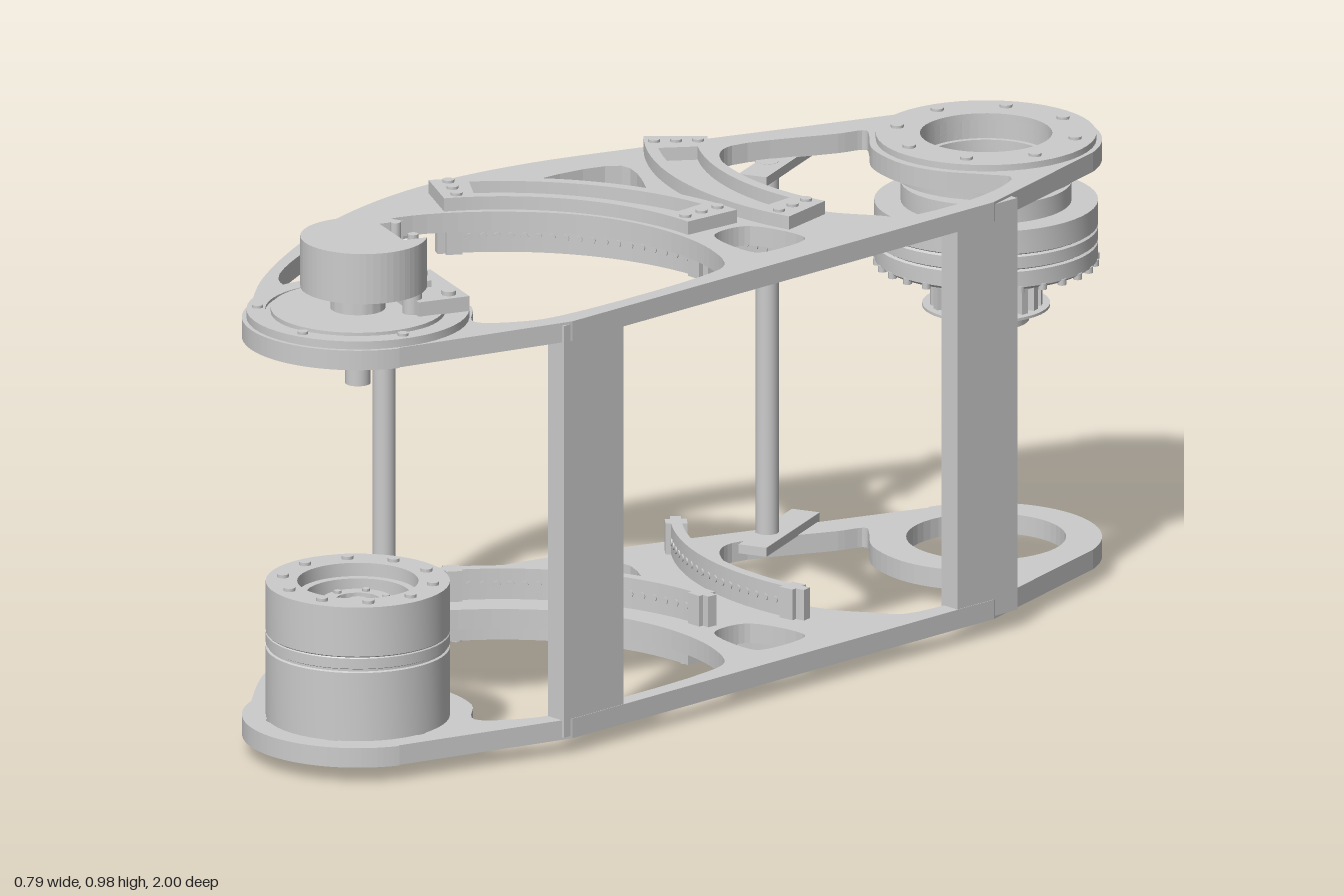
import * as THREE from 'three';
import { toCreasedNormals } from 'three/addons/utils/BufferGeometryUtils.js';

const MID = 0.425; // the two plates mirror about this height
const FRONT = [0.1, 0.79], BACK = [0.1, -0.79]; // joint axes (x, z)
const mat = new THREE.MeshStandardMaterial({ color: 0xcccccc });
const matDouble = new THREE.MeshStandardMaterial({ color: 0xcccccc, side: THREE.DoubleSide });

function add(parent, name, geo, x = 0, y = 0, z = 0, m = mat) {
  const mesh = new THREE.Mesh(geo, m);
  mesh.name = name;
  mesh.position.set(x, y, z);
  parent.add(mesh);
  return mesh;
}

// Extrude an (x, z) shape between two heights
function slab(parent, name, shape, y0, y1) {
  const g = new THREE.ExtrudeGeometry(shape, { depth: y1 - y0, bevelEnabled: false, curveSegments: 24 });
  return add(parent, name, g.rotateX(Math.PI / 2), 0, y1, 0);
}

// Turned part from [radius, y] pairs
function turned(parent, name, profile, [x, z]) {
  const g = new THREE.LatheGeometry(profile.map(p => new THREE.Vector2(...p)), 48);
  return add(parent, name, toCreasedNormals(g, 0.6), x, 0, z, matDouble);
}

const cyl = (r, h, n = 24) => new THREE.CylinderGeometry(r, r, h, n);
const circle = (x, z, r) => new THREE.Path().absarc(x, z, r, 0, Math.PI * 2, false);

function ringOf(n, r, [x, z], fn, phase = 0) {
  for (let i = 0; i < n; i++) {
    const a = phase + i / n * Math.PI * 2;
    fn(x + r * Math.cos(a), z + r * Math.sin(a), a);
  }
}

// Rounded cut-out through control points
function softHole(points) {
  const c = new THREE.CatmullRomCurve3(points.map(p => new THREE.Vector3(p[0], p[1], 0)), true, 'centripetal');
  return new THREE.Path(c.getPoints(points.length * 5).slice(0, -1).map(p => new THREE.Vector2(p.x, p.y)));
}

// Curved band between two radii
function band(Type, a, r0, r1, a0, a1) {
  const s = new Type();
  s.absarc(a.x, a.z, r1, a0, a1, false);
  s.absarc(a.x, a.z, r0, a1, a0, true);
  s.closePath();
  return s;
}

function plateShape() {
  const s = new THREE.Shape();
  s.moveTo(0.39, 0.53);
  s.lineTo(0.29, 0.87);
  s.absarc(...FRONT, 0.21, 0.4, Math.PI - 0.4, false);
  s.splineThru([[-0.19, 0.75], [-0.29, 0.57], [-0.37, 0.37], [-0.4, 0.15], [-0.37, -0.08],
    [-0.28, -0.35], [-0.18, -0.62], [-0.1, -0.84]].map(p => new THREE.Vector2(...p)));
  s.absarc(...BACK, 0.21, Math.PI + 0.25, Math.PI * 2 - 0.4, false);
  s.lineTo(0.39, -0.53);
  s.closePath();
  s.holes.push(
    softHole([[0.35, 0.15], [0.33, 0.09], [0.24, 0.04], [0.12, 0.02], [0, 0.035], [-0.1, 0.08], [-0.22, 0.19],
      [-0.29, 0.31], [-0.3, 0.42], [-0.26, 0.57], [-0.17, 0.73], [-0.12, 0.75], [-0.09, 0.69], [-0.04, 0.63],
      [0.02, 0.59], [0.1, 0.575], [0.2, 0.6], [0.27, 0.66], [0.33, 0.59], [0.35, 0.52]]),
    softHole([[0.3, -0.32], [0.34, -0.35], [0.345, -0.55], [0.3, -0.66], [0.26, -0.64], [0.18, -0.59], [0.1, -0.575],
      [0, -0.6], [-0.06, -0.65], [-0.09, -0.67], [-0.11, -0.62], [-0.19, -0.43], [-0.17, -0.38], [-0.08, -0.32],
      [0.02, -0.275], [0.13, -0.255], [0.22, -0.27]]),
    softHole([[-0.24, -0.2], [-0.28, -0.01], [-0.25, 0.01], [-0.14, -0.06], [-0.07, -0.1], [-0.1, -0.13]]),
    softHole([[0.19, -0.11], [0.3, -0.135], [0.32, -0.12], [0.32, -0.01], [0.3, 0], [0.19, -0.02], [0.175, -0.06]]));
  return s;
}

// Two curved clamps with their perforated racks, for one plate
const ARCS = [
  { x: 0.12, z: 0.445, r: 0.495, a0: -2.62, a1: -1.5 },
  { x: 0.13, z: -0.73, r: 0.54, a0: 1.36, a1: 2.34 },
];
function clamps(parent, flip) {
  const span = (lo, hi) => flip ? [2 * MID - hi, 2 * MID - lo] : [lo, hi];
  for (const a of ARCS) {
    const frame = band(THREE.Shape, a, a.r - 0.058, a.r + 0.058, a.a0, a.a1);
    frame.holes.push(band(THREE.Path, a, a.r - 0.036, a.r + 0.036, a.a0 + 0.13, a.a1 - 0.13));
    slab(parent, 'clampFrame', frame, ...span(0.82, 0.845));
    slab(parent, 'curvedRack', band(THREE.Shape, a, a.r - 0.01, a.r + 0.01, a.a0, a.a1), ...span(0.725, 0.785));
    const [e0, e1] = span(0.845, 0.849), [r0, r1] = span(0.725, 0.785);
    for (const t of [a.a0 + 0.06, a.a1 - 0.06]) {
      for (const d of [-0.04, 0, 0.04]) // clamp bolts
        add(parent, 'clampBolt', cyl(0.011, 0.006, 10), a.x + (a.r + d) * Math.cos(t), (e0 + e1) / 2, a.z + (a.r + d) * Math.sin(t));
      add(parent, 'rackEndBlock', new THREE.BoxGeometry(0.04, r1 - r0, 0.03),
        a.x + a.r * Math.cos(t), (r0 + r1) / 2, a.z + a.r * Math.sin(t)).rotation.y = -t;
    }
    for (let i = 0; i < 18; i++) { // rack pins
      const t = a.a0 + 0.12 + (a.a1 - a.a0 - 0.24) * i / 17;
      const pin = add(parent, 'rackPin', cyl(0.007, 0.025, 8), a.x + a.r * Math.cos(t), (r0 + r1) / 2, a.z + a.r * Math.sin(t));
      pin.rotation.set(0, -t, Math.PI / 2);
    }
  }
}

export function createModel() {
  const model = new THREE.Group();

  // Plates
  const top = plateShape(), bottom = plateShape();
  top.holes.push(circle(...BACK, 0.12), circle(...FRONT, 0.14));
  bottom.holes.push(circle(...BACK, 0.145), circle(...FRONT, 0.085));
  ringOf(6, 0.145, FRONT, (x, z) => bottom.holes.push(circle(x, z, 0.025)));
  slab(model, 'topPlate', top, 0.783, 0.82);
  slab(model, 'bottomPlate', bottom, 0.03, 0.067);
  clamps(model, false);
  clamps(model, true);

  // Side posts, round rods and their foot pads
  for (const z of [0.475, -0.515])
    add(model, 'sidePost', new THREE.BoxGeometry(0.042, 0.78, 0.15), 0.368, MID, z);
  for (const [x, z, w, l, turn] of [[-0.34, 0.3, 0.06, 0.08, 0], [-0.16, -0.52, 0.055, 0.24, 0.39]]) {
    add(model, 'rod', cyl(0.021, 0.72), x, MID, z - (turn ? -0.03 : 0));
    for (const y of [0.074, 2 * MID - 0.074])
      add(model, 'rodPad', new THREE.BoxGeometry(w, 0.017, l), x, y, z).rotation.y = -Math.PI + turn;
  }

  // Lower front motor: drum with open top and inner hub
  turned(model, 'motorDrum', [[0.085, 0.06], [0.167, 0.06], [0.167, 0.196], [0.163, 0.198], [0.163, 0.202], [0.167, 0.204],
    [0.167, 0.223], [0.165, 0.225], [0.167, 0.227], [0.167, 0.32], [0.11, 0.32], [0.11, 0.295], [0.095, 0.295],
    [0.095, 0.26], [0.065, 0.26], [0.065, 0.285], [0.04, 0.285], [0.04, 0.25], [0, 0.25]], FRONT);
  turned(model, 'motorBase', [[0, 0.08], [0.09, 0.08], [0.09, 0.1]], FRONT);
  add(model, 'motorShaft', cyl(0.018, 0.24), FRONT[0], 0.165, FRONT[1]);
  ringOf(10, 0.138, FRONT, (x, z) => add(model, 'drumBolt', cyl(0.011, 0.008, 10), x, 0.322, z));
  ringOf(6, 0.053, FRONT, (x, z) => add(model, 'hubBolt', cyl(0.007, 0.006, 8), x, 0.287, z));

  // Upper back actuator: flange ring, neck, drum
  turned(model, 'actuatorFlange', [[0.12, 0.82], [0.2, 0.82], [0.2, 0.832], [0.12, 0.832], [0.12, 0.78]], BACK);
  ringOf(8, 0.165, BACK, (x, z) => add(model, 'flangeBolt', cyl(0.012, 0.006, 10), x, 0.834, z), 0.2);
  turned(model, 'actuatorDrum', [[0, 0.575], [0.105, 0.575], [0.105, 0.592], [0.195, 0.592], [0.203, 0.598], [0.203, 0.628],
    [0.198, 0.631], [0.203, 0.634], [0.203, 0.656], [0.198, 0.659], [0.203, 0.662], [0.203, 0.706], [0.155, 0.706],
    [0.155, 0.742], [0.125, 0.742], [0.125, 0.785], [0.11, 0.785], [0.11, 0.74], [0.07, 0.74], [0.07, 0.755],
    [0.035, 0.755], [0.035, 0.73], [0, 0.73]], BACK);
  turned(model, 'actuatorCollar', [[0.125, 0.755], [0.165, 0.755], [0.165, 0.784], [0.125, 0.784]], BACK);
  ringOf(8, 0.09, BACK, (x, z) => add(model, 'hubBolt', cyl(0.01, 0.008, 10), x, 0.742, z));
  ringOf(28, 0.198, BACK, (x, z) => add(model, 'drumRib', cyl(0.008, 0.012, 8), x, 0.594, z));

  // Toothed pulley under the actuator
  turned(model, 'pulley', [[0, 0.435], [0.018, 0.435], [0.018, 0.48], [0.078, 0.48], [0.078, 0.506], [0.116, 0.506],
    [0.116, 0.511], [0.088, 0.511], [0.088, 0.562], [0.116, 0.562], [0.116, 0.567], [0.02, 0.567], [0.02, 0.58]], BACK);
  ringOf(20, 0.093, BACK, (x, z, a) => {
    add(model, 'pulleyTooth', new THREE.BoxGeometry(0.018, 0.052, 0.015), x, 0.536, z).rotation.y = -a;
  });

  // Upper front encoder seat: flange disc, underside boss, shaft
  turned(model, 'encoderFlange', [[0, 0.762], [0.13, 0.762], [0.13, 0.82], [0.202, 0.82], [0.202, 0.835], [0.168, 0.835],
    [0.168, 0.83], [0.158, 0.83], [0.158, 0.838], [0.05, 0.838], [0.05, 0.88], [0, 0.88]], FRONT);
  add(model, 'encoderShaft', cyl(0.023, 0.08), FRONT[0], 0.735, FRONT[1]);
  ringOf(6, 0.182, FRONT, (x, z) => add(model, 'flangeBolt', cyl(0.01, 0.006, 10), x, 0.837, z), 0.3);

  // Encoder body with connector notch, turned toward the back left
  const encoder = new THREE.Group();
  encoder.name = 'encoder';
  encoder.position.set(0.11, 0, 0.785);
  encoder.rotation.y = -0.36;
  const body = new THREE.Shape();
  const notch = Math.asin(0.055 / 0.115);
  body.absarc(0, 0, 0.115, -Math.PI / 2 + notch, Math.PI * 1.5 - notch, false);
  body.lineTo(-0.055, -0.055);
  body.lineTo(0.055, -0.055);
  body.closePath();
  slab(encoder, 'encoderBody', body, 0.88, 0.975);
  add(encoder, 'connector', new THREE.BoxGeometry(0.07, 0.05, 0.03), 0, 0.915, -0.07);
  add(encoder, 'connectorShelf', new THREE.BoxGeometry(0.11, 0.012, 0.06), 0, 0.886, -0.08);
  for (const s of [-1, 1]) {
    add(encoder, 'terminal', cyl(0.01, 0.09, 10), s * 0.04, 0.935, -0.08);
    add(encoder, 'support', cyl(0.018, 0.05, 16), s * 0.06, 0.86, -0.07);
  }
  add(encoder, 'mountBracket', new THREE.BoxGeometry(0.18, 0.028, 0.1), 0, 0.851, -0.12);
  for (const s of [-1, 1]) add(encoder, 'bracketBolt', cyl(0.013, 0.01, 12), s * 0.065, 0.868, -0.14);
  model.add(encoder);

  return model;
}
